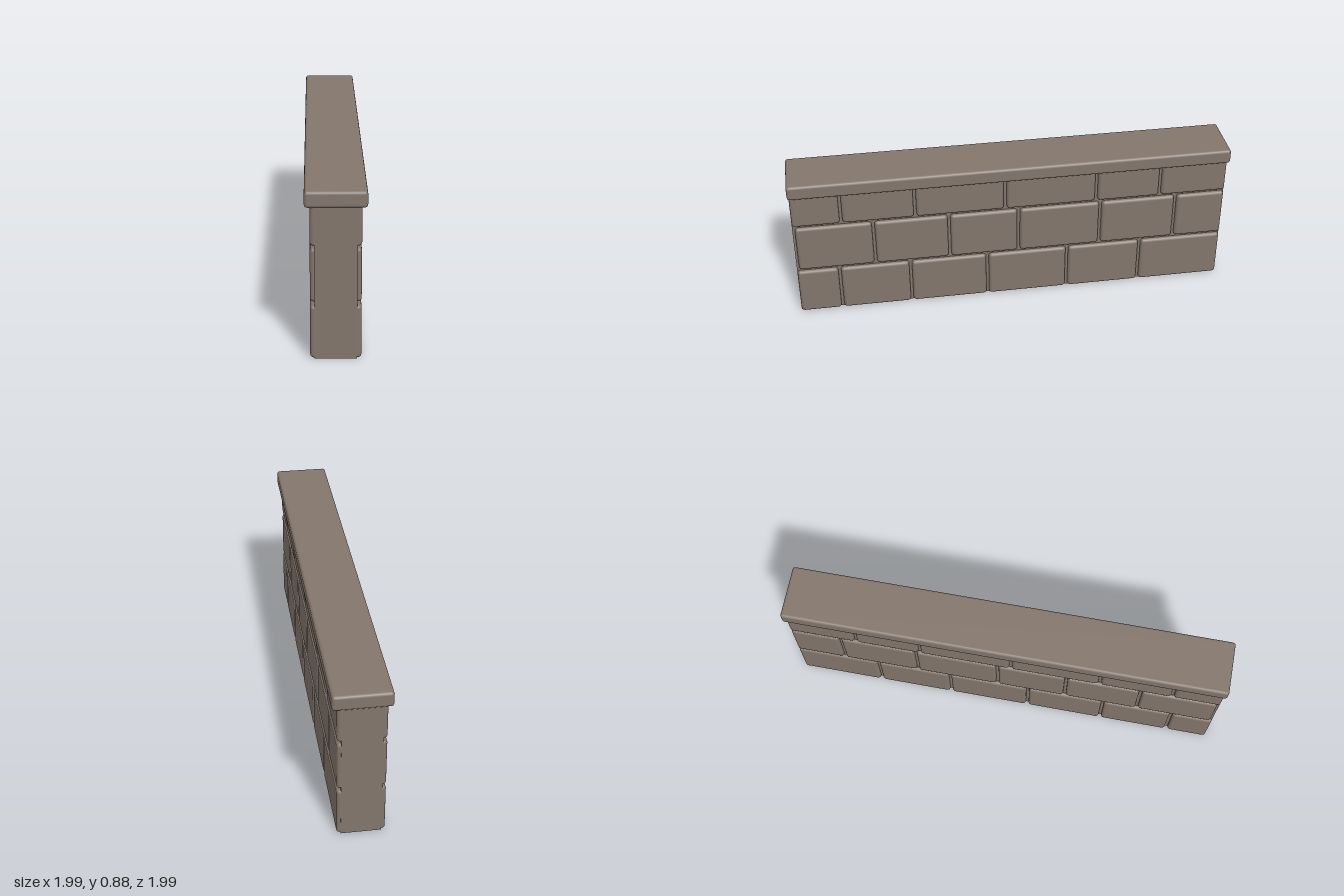
import * as THREE from 'three';
import { RoundedBoxGeometry } from 'three/addons/geometries/RoundedBoxGeometry.js';

export function createModel() {
  const model = new THREE.Group();
  model.name = 'stoneWall';
  const stone = new THREE.MeshStandardMaterial({ color: 0x83766c });
  stone.name = 'warm grey stone';

  // The wall is built along x, then turned to run diagonally
  const wall = new THREE.Group();
  wall.name = 'wall';
  wall.rotation.y = -Math.PI / 4;
  model.add(wall);

  const END = 1.252;   // half length of the core
  const GAP = 0.016;   // joint between bricks

  function add(name, geometry, x, y) {
    const mesh = new THREE.Mesh(geometry, stone);
    mesh.name = name;
    mesh.position.set(x, y, 0);
    wall.add(mesh);
  }

  // Core, seen in the joints and at the flat ends
  add('core', new THREE.BoxGeometry(2 * END, 0.8, 0.214), 0, 0.4);

  // Courses of bricks reaching through the core: height range and joint positions
  const courses = [
    { name: 'bottomBrick', y0: 0, y1: 0.286, joints: [-1.251, -0.764, -0.326, 0.148, 0.6, 1.01, 1.251] },
    { name: 'middleBrick', y0: 0.3, y1: 0.586, joints: [-1.251, -0.962, -0.516, -0.036, 0.367, 0.799, 1.238] },
    { name: 'topBrick', y0: 0.6, y1: 0.83, joints: [-1.251, -0.863, -0.488, 0.042, 0.558, 0.976, 1.251] },
  ];
  for (const { name, y0, y1, joints } of courses) {
    const last = joints.length - 1;
    for (let i = 0; i < last; i++) {
      const a = joints[i] + (i === 0 ? 0 : GAP / 2);
      const b = joints[i + 1] - (i === last - 1 ? 0 : GAP / 2);
      add(name, new RoundedBoxGeometry(b - a, y1 - y0, 0.258, 2, 0.018), (a + b) / 2, (y0 + y1) / 2);
    }
  }

  // Coping slab overhanging both faces
  add('coping', new RoundedBoxGeometry(2.518, 0.085, 0.312, 2, 0.016), 0, 0.8425);

  return model;
}
